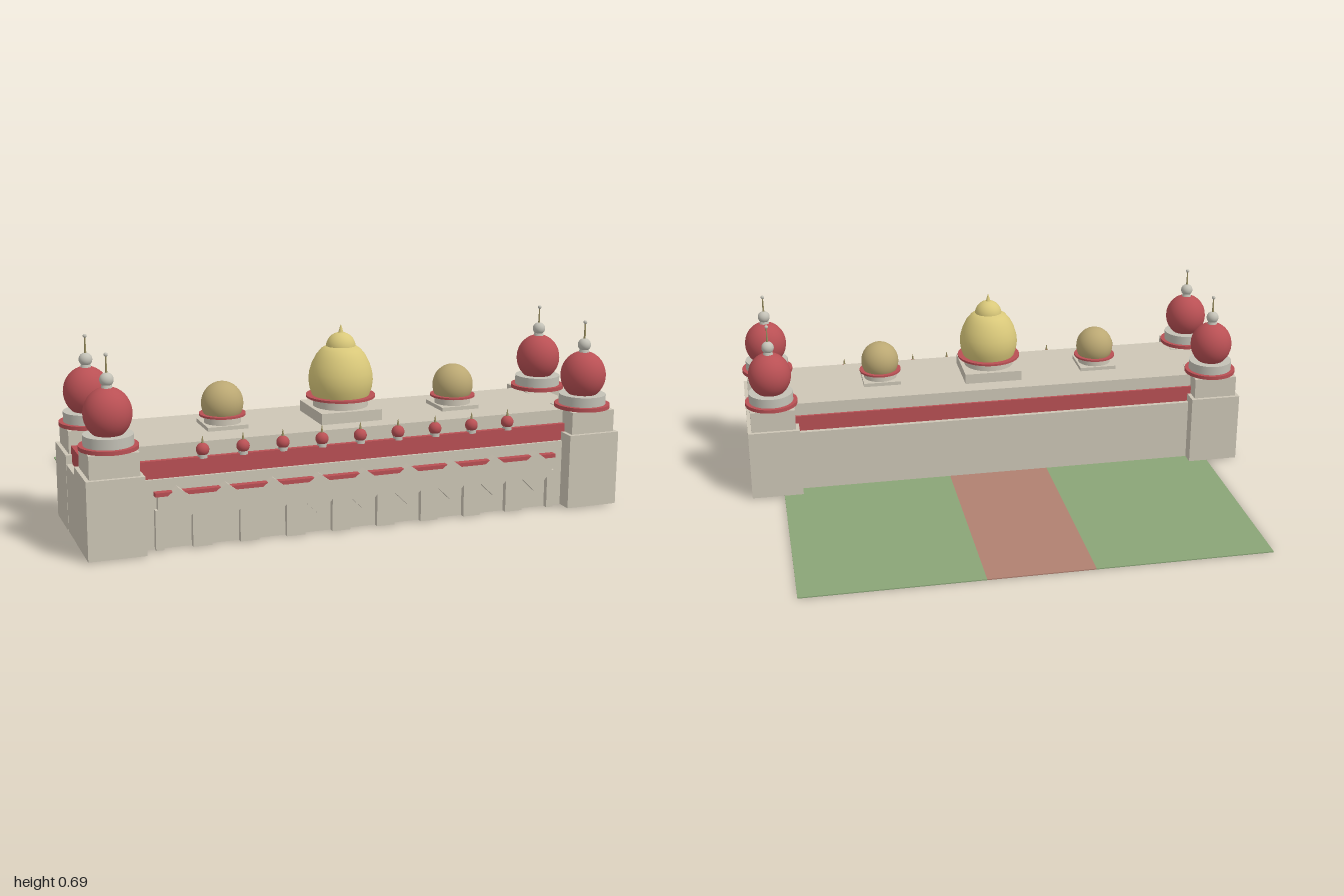
import * as THREE from 'three';

const material = (name, color) => {
  const m = new THREE.MeshStandardMaterial({ color });
  m.name = name;
  return m;
};

export function createModel() {
  const stone = material('stone', 0xcdc6b6);
  const red = material('red', 0xb95054);
  const gold = material('gold', 0xd9c87a);
  const bronze = material('bronze', 0xbba873);
  const pale = material('pale stone', 0xc3c1b6);
  const spireMat = material('spire metal', 0x9a8f62);
  const grass = material('grass', 0x8aa577);
  const path = material('path', 0xb08070);

  const model = new THREE.Group();
  model.name = 'domedHall';
  const base = 0.004;

  const add = (parent, name, geometry, mat, x = 0, y = 0, z = 0) => {
    const mesh = new THREE.Mesh(geometry, mat);
    mesh.name = name;
    mesh.position.set(x, y, z);
    parent.add(mesh);
    return mesh;
  };
  // Box given by its lower and upper limits
  const box = (parent, name, mat, x0, x1, y0, y1, z0, z1) =>
    add(parent, name, new THREE.BoxGeometry(x1 - x0, y1 - y0, z1 - z0), mat,
      (x0 + x1) / 2, (y0 + y1) / 2, (z0 + z1) / 2);
  // Upright disc or drum between two heights
  const drum = (parent, name, mat, r, y0, y1, rTop = r) =>
    add(parent, name, new THREE.CylinderGeometry(rTop, r, y1 - y0, 32), mat, 0, (y0 + y1) / 2, 0);
  const ball = (parent, name, mat, r, y, stretch = 1) => {
    const mesh = add(parent, name, new THREE.SphereGeometry(r, 32, 20), mat, 0, y, 0);
    mesh.scale.y = stretch;
    return mesh;
  };
  const group = (name, x, z) => {
    const g = new THREE.Group();
    g.name = name;
    g.position.set(x, 0, z);
    model.add(g);
    return g;
  };

  // Garden behind the hall
  box(model, 'lawnRight', grass, -0.87, -0.2, 0, base, -0.675, 0.42);
  box(model, 'lawnLeft', grass, 0.2, 0.87, 0, base, -0.675, 0.42);
  box(model, 'gardenPath', path, -0.2, 0.2, 0, base, -0.675, 0.42);

  // Main hall
  box(model, 'lowerWall', stone, -0.994, 0.994, base, 0.248, 0.172, 0.61);
  box(model, 'redBand', red, -0.973, 0.973, 0.248, 0.31, 0.19, 0.6);
  box(model, 'parapet', stone, -0.9, 0.9, 0.31, 0.36, 0.2, 0.582);

  // Corner towers
  for (const x of [-0.895, 0.895]) {
    for (const z of [0.22, 0.57]) {
      const t = group('cornerTower', x, z);
      box(t, 'towerBase', stone, -0.1, 0.1, base, 0.28, -0.1, 0.1);
      box(t, 'towerUpper', stone, -0.086, 0.086, 0.28, 0.362, -0.086, 0.086);
      drum(t, 'towerRing', red, 0.102, 0.362, 0.376);
      drum(t, 'towerDrum', pale, 0.086, 0.376, 0.412);
      ball(t, 'towerDome', red, 0.083, 0.482, 1.08);
      drum(t, 'towerNeck', pale, 0.021, 0.562, 0.582, 0.016);
      ball(t, 'towerBall', pale, 0.024, 0.596);
      drum(t, 'towerSpire', spireMat, 0.004, 0.615, 0.678, 0.002);
      ball(t, 'spireTip', pale, 0.007, 0.68);
    }
  }

  // Great central dome
  const c = group('centralDome', 0, 0.392);
  box(c, 'centralPlinth', stone, -0.115, 0.115, 0.36, 0.4, -0.118, 0.118);
  drum(c, 'centralDrum', stone, 0.1, 0.4, 0.432);
  drum(c, 'centralRing', red, 0.126, 0.432, 0.44);
  const profile = [
    [0.104, 0.44], [0.113, 0.465], [0.117, 0.495], [0.114, 0.525], [0.105, 0.555],
    [0.09, 0.585], [0.072, 0.607], [0.052, 0.62], [0, 0.626],
  ].map(([r, y]) => new THREE.Vector2(r, y));
  add(c, 'centralShell', new THREE.LatheGeometry(profile, 32), gold);
  ball(c, 'centralCap', gold, 0.054, 0.614);
  drum(c, 'centralSpire', gold, 0.011, 0.662, 0.695, 0.001);

  // Smaller side domes
  for (const x of [-0.447, 0.447]) {
    const d = group('sideDome', x, 0.392);
    box(d, 'sidePlinth', stone, -0.074, 0.074, 0.36, 0.374, -0.074, 0.074);
    drum(d, 'sideDrum', stone, 0.066, 0.374, 0.4);
    drum(d, 'sideRing', red, 0.083, 0.4, 0.407);
    ball(d, 'sideShell', bronze, 0.075, 0.442, 1.04);
  }

  // Row of little domes along the front band
  for (let i = -4; i <= 4; i++) {
    const f = group('frontFinial', i * 0.144, 0.59);
    drum(f, 'finialBase', pale, 0.017, 0.305, 0.318);
    ball(f, 'finialDome', red, 0.023, 0.334);
    drum(f, 'finialSpike', spireMat, 0.005, 0.354, 0.38, 0.001);
  }

  // Front arcade: nine notched openings under small gables
  const front = new THREE.Shape();
  front.moveTo(-0.755, base);
  for (let i = -4; i <= 4; i++) {
    const x = i * 0.169;
    front.lineTo(x - 0.051, base);
    front.lineTo(x - 0.051, 0.122);
    front.lineTo(x, 0.072);
    front.lineTo(x + 0.051, 0.122);
    front.lineTo(x + 0.051, base);
  }
  front.lineTo(0.755, base);
  front.lineTo(0.755, 0.146);
  front.lineTo(0.745, 0.146);
  front.lineTo(0.745, 0.196);
  front.lineTo(-0.745, 0.196);
  front.lineTo(-0.745, 0.146);
  front.lineTo(-0.755, 0.146);
  add(model, 'arcade', new THREE.ExtrudeGeometry(front, { depth: 0.023, bevelEnabled: false }),
    stone, 0, 0, 0.608);
  box(model, 'arcadeCornice', red, -0.755, 0.755, 0.194, 0.208, 0.608, 0.636);

  const gable = new THREE.Shape();
  gable.moveTo(-0.045, 0.188);
  gable.lineTo(0.045, 0.188);
  gable.lineTo(0, 0.222);
  const gableGeometry = new THREE.ExtrudeGeometry(gable, { depth: 0.034, bevelEnabled: false });
  for (let i = -4; i <= 4; i++) add(model, 'arcadeGable', gableGeometry, stone, i * 0.169, 0, 0.609);

  return model;
}
